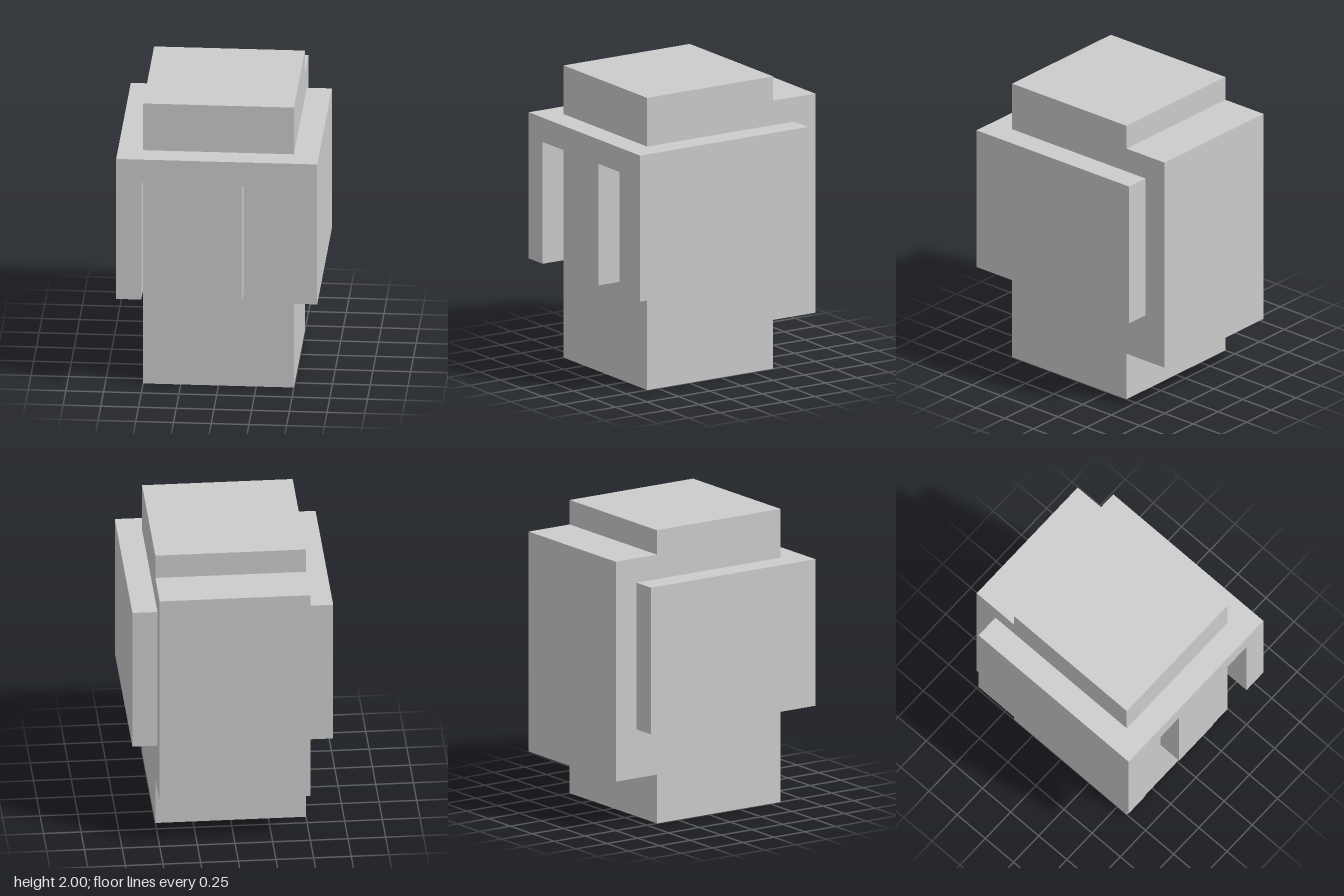
import * as THREE from 'three';

const U = 1 / 6; // block unit: the whole figure is 12 units tall

export function createModel() {
  const model = new THREE.Group();
  const material = new THREE.MeshStandardMaterial({ color: 0xcccccc, flatShading: true });

  // Box given by its minimum and maximum corners, in block units
  function block(name, [x0, y0, z0], [x1, y1, z1], parent = model) {
    const mesh = new THREE.Mesh(
      new THREE.BoxGeometry((x1 - x0) * U, (y1 - y0) * U, (z1 - z0) * U), material);
    mesh.position.set((x0 + x1) / 2 * U, (y0 + y1) / 2 * U, (z0 + z1) / 2 * U);
    mesh.name = name;
    parent.add(mesh);
  }

  // Main column and the slab on its back
  block('body', [-3, 0, -2.5], [3, 12, 3.5]);
  block('backpack', [-3, 2, -4.5], [3, 11, -2.5]);

  // Wrap-around harness: side plates, front bar and middle strip
  const harness = new THREE.Group();
  harness.name = 'harness';
  model.add(harness);
  block('leftPlate', [3, 4, -3.5], [4, 10, 4.5], harness);
  block('rightPlate', [-4, 4, -3.5], [-3, 10, 4.5], harness);
  block('frontBar', [-3, 9, 3.5], [3, 10, 4.5], harness);
  block('frontStrip', [-1, 4, 3.5], [1, 9, 4.5], harness);

  return model;
}
